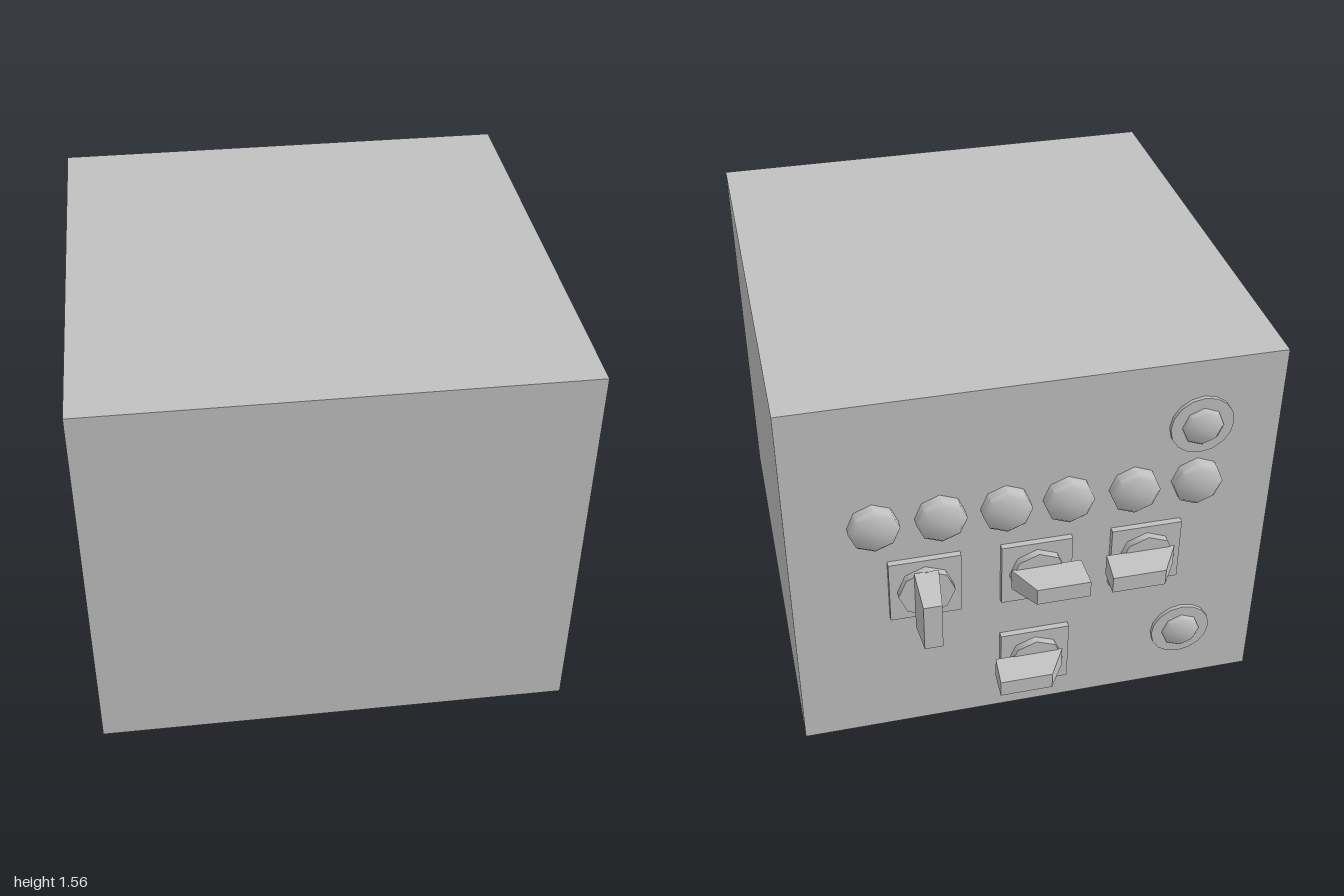
import * as THREE from 'three';
import { toCreasedNormals } from 'three/addons/utils/BufferGeometryUtils.js';

const grey = new THREE.MeshStandardMaterial({ color: 0xc0c0c0 });
grey.name = 'panel grey';
const PANEL_Z = -0.835;

export function createModel() {
  const model = new THREE.Group();
  model.name = 'controlBox';

  const add = (parent, name, geometry, x = 0, y = 0, z = 0) => {
    const mesh = new THREE.Mesh(geometry, grey);
    mesh.name = name;
    mesh.position.set(x, y, z);
    parent.add(mesh);
    return mesh;
  };

  // Turned part whose axis points out of the back panel; profile is [radius, height]
  const turned = (profile, sides) => {
    const points = profile.map(([r, h]) => new THREE.Vector2(r, h));
    const g = new THREE.LatheGeometry(points, sides).rotateX(-Math.PI / 2);
    return toCreasedNormals(g, 0.83);
  };

  // Main case
  add(model, 'case', new THREE.BoxGeometry(1.83, 1.56, 1.835), 0, 0.78, 0.0825);

  // Row of push buttons
  const buttonGeo = turned([[0.094, 0], [0.094, 0.035], [0.078, 0.05], [0, 0.05]], 8);
  [0.6, 0.355, 0.113, -0.12, -0.37, -0.61].forEach((x) =>
    add(model, 'pushButton', buttonGeo, x, 1.035, PANEL_Z));

  // Round lamps with a flat collar
  const collarGeo = turned([[0.12, 0], [0.12, 0.015], [0, 0.015]], 16);
  const lensGeo = turned([[0.077, 0], [0.077, 0.025], [0.066, 0.036], [0, 0.036]], 8);
  [1.287, 0.27].forEach((y) => {
    add(model, 'lampCollar', collarGeo, -0.61, y, PANEL_Z);
    add(model, 'lampLens', lensGeo, -0.61, y, PANEL_Z);
  });

  // Lever: a box tapered outwards, with one sloping end
  const leverGeo = new THREE.BoxGeometry(1, 1, 1);
  const p = leverGeo.attributes.position;
  for (let i = 0; i < p.count; i++) {
    const outer = p.getZ(i) < 0;
    const slopeEnd = p.getY(i) > 0;
    const y = slopeEnd ? (outer ? 0.035 : 0.105) : (outer ? -0.17 : -0.163);
    p.setXYZ(i, Math.sign(p.getX(i)) * (outer ? 0.035 : 0.046), y, outer ? -0.165 : -0.05);
  }
  leverGeo.computeVertexNormals();

  // Rotary switches: [x, y, lever turn]
  const plateGeo = new THREE.BoxGeometry(0.272, 0.272, 0.024);
  const hubGeo = turned([[0.107, 0], [0.107, 0.053], [0, 0.053]], 8);
  [
    [0.42, 0.715, 0],
    [-0.005, 0.715, -Math.PI / 2],
    [-0.43, 0.715, Math.PI / 2],
    [-0.005, 0.262, Math.PI / 2],
  ].forEach(([x, y, turn]) => {
    const rotarySwitch = new THREE.Group();
    rotarySwitch.name = 'rotarySwitch';
    rotarySwitch.position.set(x, y, PANEL_Z);
    add(rotarySwitch, 'switchPlate', plateGeo, 0, 0, -0.012);
    add(rotarySwitch, 'switchHub', hubGeo);
    add(rotarySwitch, 'switchLever', leverGeo).rotation.z = turn;
    model.add(rotarySwitch);
  });

  return model;
}
